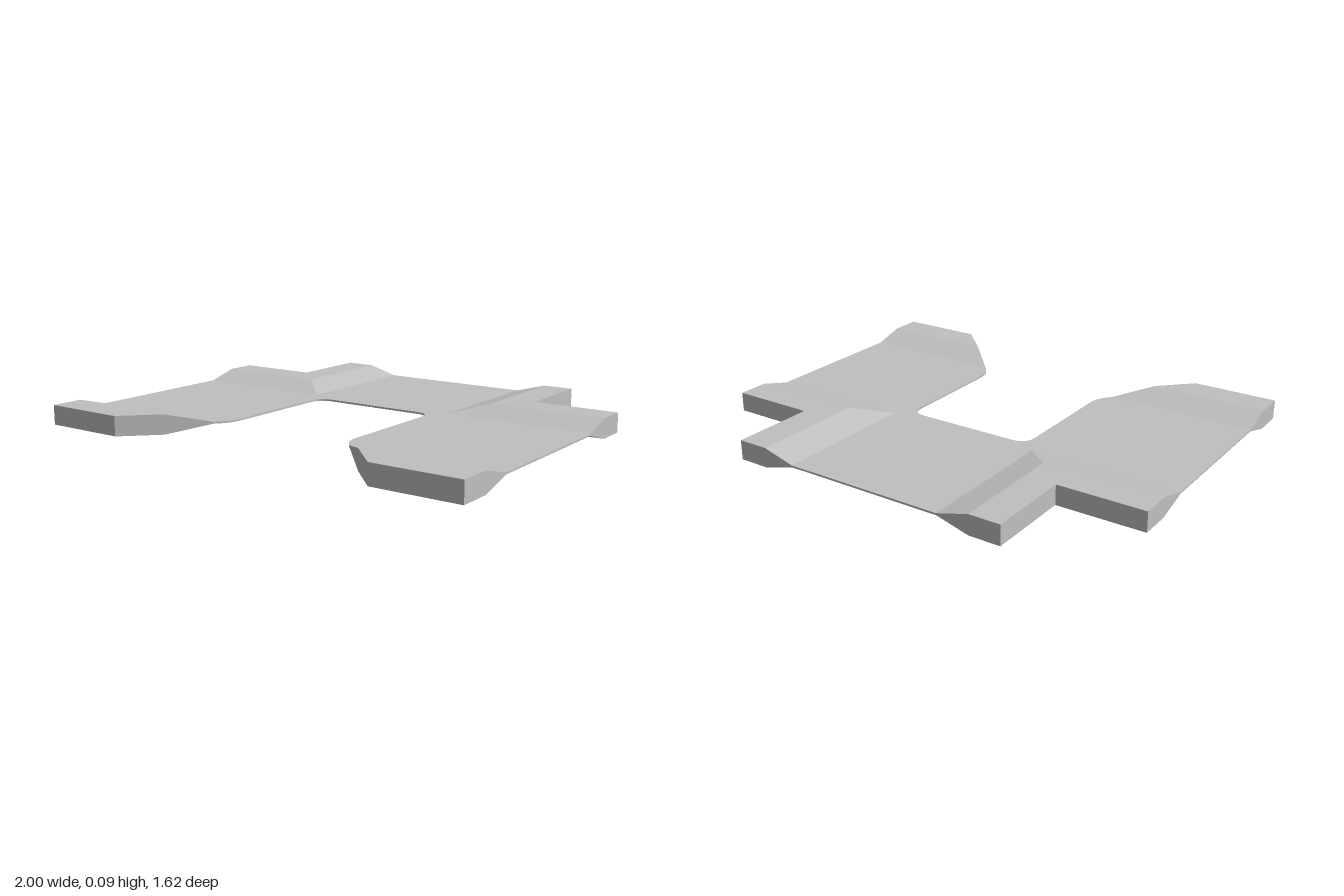
import * as THREE from 'three';

const MID = 0.0425, THICK = 0.0425, THIN = 0.004;

const ramp = (v, a, b) => THREE.MathUtils.clamp((v - a) / (b - a), 0, 1);

// Half thickness of the plate: thick rear corners and front tips, thin web between
function halfThickness(x, z) {
  const rear = Math.min(ramp(x, 0.35, 0.49), ramp(-z, 0.165, 0.305));
  return THIN + (THICK - THIN) * Math.max(rear, ramp(z, 0.53, 0.67));
}

// Rounded corner from a to b, bending towards corner c
function fillet(a, c, b) {
  const v = p => new THREE.Vector2(...p);
  return new THREE.QuadraticBezierCurve(v(a), v(c), v(b)).getPoints(8).map(p => [p.x, p.y]);
}

export function createModel() {
  const group = new THREE.Group();
  group.name = 'notchedPlate';
  const grey = new THREE.MeshStandardMaterial({ color: 0xc0c0c0 });
  grey.name = 'plain grey';

  // Notch edge of the half plate, from the front ramp back to the centre line
  const notch = [
    ...fillet([0.345, 0.53], [0.295, 0.48], [0.295, 0.42]),
    ...fillet([0.295, -0.05], [0.295, -0.12], [0.225, -0.12]),
    [0, -0.12],
  ];

  // Flat facets of one half, as [x, z] corners
  const facets = {
    web: [[0, -0.81], [0.35, -0.81], [0.35, -0.165], [1, -0.165], [1, 0.53], ...notch],
    innerRamp: [[0.35, -0.81], [0.49, -0.81], [0.49, -0.305], [0.35, -0.165]],
    rearRamp: [[0.35, -0.165], [0.49, -0.305], [1, -0.305], [1, -0.165]],
    rearCorner: [[0.49, -0.81], [0.625, -0.81], [0.625, -0.44], [1, -0.44], [1, -0.305], [0.49, -0.305]],
    frontRamp: [[0.345, 0.53], [1, 0.53], [1, 0.67], [0.485, 0.67]],
    frontTip: [[0.485, 0.67], [1, 0.67], [1, 0.81], [0.625, 0.81]],
  };

  // Outer edge of one half, with a point at every bend in thickness
  const outline = [
    [0, -0.81], [0.35, -0.81], [0.49, -0.81], [0.625, -0.81], [0.625, -0.44], [1, -0.44],
    [1, -0.305], [1, -0.165], [1, 0.53], [1, 0.67], [1, 0.81], [0.625, 0.81], [0.485, 0.67], ...notch,
  ];

  for (const side of [1, -1]) {
    const half = new THREE.Group();
    half.name = side > 0 ? 'leftHalf' : 'rightHalf';
    group.add(half);

    const point = ([x, z], up) => [side * x, MID + up * halfThickness(x, z), z];
    const addMesh = (name, triangles) => {
      const geometry = new THREE.BufferGeometry();
      // Mirrored triangles are reversed so they still face outwards
      const corners = triangles.flatMap(t => (side > 0 ? t : [t[0], t[2], t[1]]));
      geometry.setAttribute('position', new THREE.Float32BufferAttribute(corners.flat(), 3));
      geometry.computeVertexNormals();
      const mesh = new THREE.Mesh(geometry, grey);
      mesh.name = name;
      half.add(mesh);
    };

    // Top and bottom of every facet
    for (const [name, polygon] of Object.entries(facets)) {
      const contour = polygon.map(p => new THREE.Vector2(...p));
      const triangles = [];
      for (const face of THREE.ShapeUtils.triangulateShape(contour, [])) {
        let [a, b, c] = face.map(i => polygon[i]);
        const area = (b[0] - a[0]) * (c[1] - a[1]) - (b[1] - a[1]) * (c[0] - a[0]);
        if (area > 0) [b, c] = [c, b];
        triangles.push([point(a, 1), point(b, 1), point(c, 1)]);
        triangles.push([point(a, -1), point(c, -1), point(b, -1)]);
      }
      addMesh(name, triangles);
    }

    // Upright rim around the edge
    const rim = [];
    for (let i = 0; i < outline.length - 1; i++) {
      const a = outline[i], b = outline[i + 1];
      rim.push([point(a, -1), point(a, 1), point(b, 1)], [point(a, -1), point(b, 1), point(b, -1)]);
    }
    addMesh('rim', rim);
  }
  return group;
}
